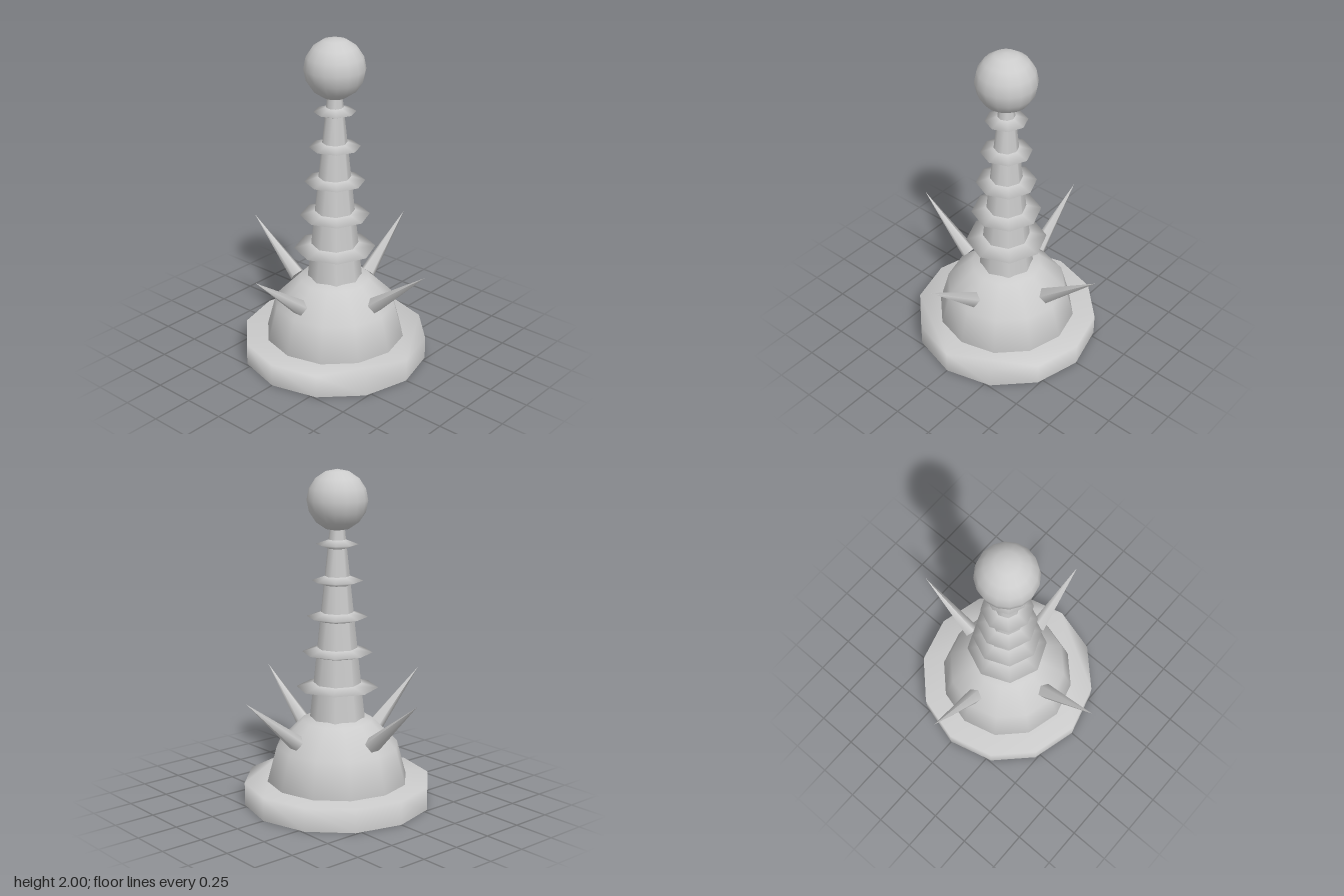
import * as THREE from 'three';

const material = new THREE.MeshStandardMaterial({ color: 0xcccccc });
const shellMaterial = new THREE.MeshStandardMaterial({ color: 0xcccccc, side: THREE.DoubleSide });

function addMesh(parent, name, geometry, mat = material) {
  const mesh = new THREE.Mesh(geometry, mat);
  mesh.name = name;
  parent.add(mesh);
  return mesh;
}

// Drum with a closed top, an open underside and normals shared over the rim
function drumGeometry(radius, height, sides) {
  const positions = [], indices = [];
  for (let i = 0; i < sides; i++) {
    const a = (i / sides) * Math.PI * 2;
    const x = radius * Math.sin(a), z = radius * Math.cos(a);
    positions.push(x, 0, z, x, height, z);
    const low = 2 * i, nextLow = (2 * i + 2) % (2 * sides);
    indices.push(low, nextLow, low + 1, nextLow, nextLow + 1, low + 1);
    if (i > 0 && i < sides - 1) indices.push(1, low + 1, nextLow + 1);
  }
  const geometry = new THREE.BufferGeometry();
  geometry.setAttribute('position', new THREE.Float32BufferAttribute(positions, 3));
  geometry.setIndex(indices);
  geometry.computeVertexNormals();
  return geometry;
}

export function createModel() {
  const group = new THREE.Group();
  group.name = 'spikedFinial';

  // Twelve-sided plinth, hollow underneath
  addMesh(group, 'base', drumGeometry(0.565, 0.14, 12), shellMaterial);

  // Half-sphere sitting on the plinth
  const dome = new THREE.SphereGeometry(0.427, 12, 3, 0, Math.PI * 2, 0, Math.PI / 2);
  addMesh(group, 'dome', dome).position.y = 0.14;

  // Tapered stalk
  const bottomY = 0.52, topY = 1.68, bottomR = 0.165, topR = 0.042;
  const stalk = new THREE.CylinderGeometry(topR, bottomR, topY - bottomY, 8);
  addMesh(group, 'stalk', stalk).position.y = (bottomY + topY) / 2;

  // Sharp-edged collars, shrinking upward
  [0.245, 0.209, 0.18, 0.152, 0.124].forEach((radius, i) => {
    const y = 0.708 + i * 0.2145;
    const inner = THREE.MathUtils.mapLinear(y, bottomY, topY, bottomR, topR) - 0.004;
    const half = 0.027;
    const profile = [[inner, -half], [radius, 0], [inner, half]].map(([r, h]) => new THREE.Vector2(r, h));
    addMesh(group, 'collar', new THREE.LatheGeometry(profile, 8)).position.y = y;
  });

  // Ball on top
  addMesh(group, 'ball', new THREE.SphereGeometry(0.179, 16, 8)).position.y = 1.821;

  // Four five-sided spikes leaning outward from the dome, one ridge on top
  const foot = new THREE.Vector3(0, 0.416, 0.312);
  const tip = new THREE.Vector3(0, 0.723, 0.676);
  const direction = tip.clone().sub(foot);
  const spikeGeometry = new THREE.ConeGeometry(0.05, direction.length(), 5, 1, false, Math.PI);
  for (let i = 0; i < 4; i++) {
    const arm = new THREE.Group();
    arm.name = 'spikeArm';
    arm.rotation.y = (i * Math.PI) / 2;
    const spike = addMesh(arm, 'spike', spikeGeometry);
    spike.position.copy(foot).add(tip).multiplyScalar(0.5);
    spike.quaternion.setFromUnitVectors(new THREE.Vector3(0, 1, 0), direction.clone().normalize());
    group.add(arm);
  }
  return group;
}
